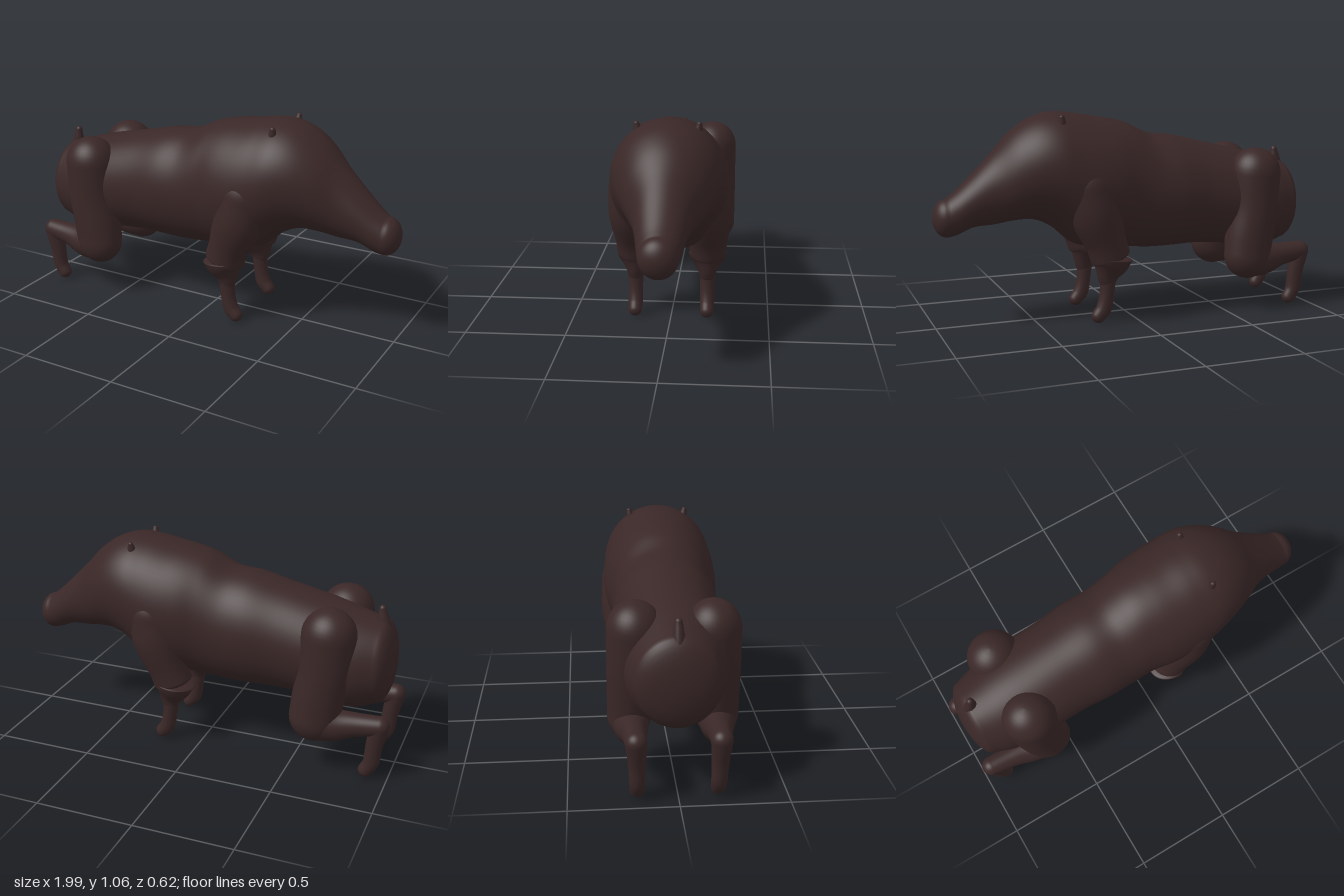
import * as THREE from 'three';

const X_AXIS = new THREE.Vector3(1, 0, 0);

// Smooth closed skin through sections [x, y, z, side radius, in-plane radius], with rounded ends.
function loft(sections, { startCap, endCap, axis = null, steps = 40, sides = 40 }) {
  const path = new THREE.CatmullRomCurve3(sections.map(s => new THREE.Vector3(s[0], s[1], s[2])), false, 'catmullrom', 0.5);
  const radii = new THREE.CatmullRomCurve3(sections.map(s => new THREE.Vector3(s[3], s[4], 0)), false, 'catmullrom', 0.5);
  const rings = [];
  const addRing = (t, shift, scale) => {
    const dir = axis ? axis.clone() : path.getTangent(t);
    const center = path.getPoint(t).addScaledVector(dir, shift);
    const r = radii.getPoint(t);
    const u = new THREE.Vector3(0, 0, 1);
    u.addScaledVector(dir, -u.dot(dir)).normalize();
    rings.push({ center, u, v: dir.clone().cross(u), a: r.x * scale, b: r.y * scale });
  };
  const CAP = 10;
  for (let i = 0; i < CAP; i++) {
    const q = (i / CAP) * Math.PI / 2;
    addRing(0, -startCap * Math.cos(q), Math.sin(q));
  }
  for (let i = 0; i <= steps; i++) addRing(i / steps, 0, 1);
  for (let i = 1; i <= CAP; i++) {
    const q = (i / CAP) * Math.PI / 2;
    addRing(1, endCap * Math.sin(q), Math.cos(q));
  }

  const pos = [], index = [];
  rings.forEach((ring, i) => {
    for (let j = 0; j < sides; j++) {
      const th = (j / sides) * Math.PI * 2;
      const p = ring.center.clone()
        .addScaledVector(ring.u, ring.a * Math.cos(th))
        .addScaledVector(ring.v, ring.b * Math.sin(th));
      pos.push(p.x, p.y, p.z);
      if (i === rings.length - 1) continue;
      const k = (j + 1) % sides, a = i * sides + j, b = i * sides + k;
      index.push(a, b, a + sides, b, b + sides, a + sides);
    }
  });
  const geo = new THREE.BufferGeometry();
  geo.setAttribute('position', new THREE.Float32BufferAttribute(pos, 3));
  geo.setIndex(index);
  geo.computeVertexNormals();
  return geo;
}

export function createModel() {
  const model = new THREE.Group();
  model.name = 'animal';
  const hide = new THREE.MeshStandardMaterial({ color: 0x3a2727 });
  hide.name = 'dark brown hide';

  const add = (parent, name, sections, options) => {
    const mesh = new THREE.Mesh(loft(sections, options), hide);
    mesh.name = name;
    parent.add(mesh);
  };

  // Body, neck and head in one skin: [x, top, bottom, half width]
  const outline = [
    [-0.89, 0.775, 0.34, 0.20], [-0.8, 0.80, 0.31, 0.23], [-0.7, 0.83, 0.31, 0.245],
    [-0.6, 0.855, 0.33, 0.25], [-0.4, 0.90, 0.348, 0.25], [-0.25, 0.935, 0.345, 0.262],
    [-0.12, 0.95, 0.345, 0.26], [0, 1.005, 0.355, 0.265], [0.1, 1.03, 0.36, 0.285],
    [0.2, 1.045, 0.37, 0.295], [0.3, 1.062, 0.40, 0.292], [0.4, 1.067, 0.485, 0.28],
    [0.5, 1.04, 0.53, 0.25], [0.6, 0.975, 0.53, 0.205], [0.7, 0.87, 0.515, 0.15],
    [0.8, 0.77, 0.507, 0.12], [0.88, 0.695, 0.475, 0.103], [0.93, 0.655, 0.463, 0.092],
  ];
  add(model, 'body',
    outline.map(([x, top, bottom, w]) => [x, (top + bottom) / 2, 0, w, (top - bottom) / 2]),
    { startCap: 0.08, endCap: 0.07, axis: X_AXIS, steps: 100, sides: 64 });

  // Tail stub
  add(model, 'tail', [[-0.9, 0.68, 0, 0.035, 0.05], [-0.89, 0.76, 0, 0.028, 0.035], [-0.882, 0.83, 0, 0.018, 0.018]],
    { startCap: 0.02, endCap: 0.02, steps: 12, sides: 20 });

  for (const side of [1, -1]) {
    const word = side > 0 ? 'left' : 'right';
    const flip = list => list.map(([x, y, z, a, b]) => [x, y, z * side, a, b]);

    // Ear nub
    add(model, word + 'Ear', flip([[0.38, 0.98, 0.14, 0.025, 0.025], [0.38, 1.02, 0.145, 0.02, 0.02], [0.382, 1.047, 0.15, 0.013, 0.014]]),
      { startCap: 0.01, endCap: 0.012, steps: 10, sides: 16 });

    // Front leg: shoulder, flared cuff and thin foot
    const front = new THREE.Group();
    front.name = word + 'FrontLeg';
    add(front, 'shoulder', flip([
      [0.25, 0.70, 0.19, 0.115, 0.13], [0.22, 0.56, 0.19, 0.12, 0.13],
      [0.17, 0.42, 0.187, 0.10, 0.105], [0.145, 0.345, 0.185, 0.094, 0.103],
    ]), { startCap: 0.13, endCap: 0.03 });
    add(front, 'cuff', flip([
      [0.14, 0.335, 0.185, 0.098, 0.11], [0.145, 0.30, 0.185, 0.085, 0.092],
      [0.158, 0.25, 0.185, 0.052, 0.06], [0.162, 0.21, 0.185, 0.038, 0.042],
    ]), { startCap: 0.015, endCap: 0.02, steps: 20 });
    add(front, 'foot', flip([
      [0.155, 0.26, 0.185, 0.042, 0.042], [0.165, 0.15, 0.185, 0.037, 0.037],
      [0.18, 0.08, 0.185, 0.037, 0.04], [0.21, 0.04, 0.185, 0.035, 0.036],
    ]), { startCap: 0.02, endCap: 0.034, steps: 24, sides: 28 });
    model.add(front);

    // Hind leg: thigh, shank running back to the hock, and foot
    const hind = new THREE.Group();
    hind.name = word + 'HindLeg';
    add(hind, 'thigh', flip([
      [-0.67, 0.73, 0.18, 0.13, 0.135], [-0.66, 0.55, 0.187, 0.123, 0.13],
      [-0.635, 0.40, 0.195, 0.115, 0.13], [-0.62, 0.30, 0.205, 0.105, 0.125],
    ]), { startCap: 0.135, endCap: 0.125 });
    add(hind, 'shank', flip([
      [-0.62, 0.28, 0.205, 0.095, 0.105], [-0.72, 0.27, 0.20, 0.08, 0.085],
      [-0.82, 0.285, 0.195, 0.06, 0.062], [-0.945, 0.298, 0.19, 0.05, 0.05],
    ]), { startCap: 0.08, endCap: 0.05 });
    add(hind, 'foot', flip([
      [-0.945, 0.298, 0.19, 0.05, 0.05], [-0.925, 0.18, 0.187, 0.04, 0.042],
      [-0.915, 0.09, 0.185, 0.037, 0.04], [-0.888, 0.04, 0.185, 0.035, 0.036],
    ]), { startCap: 0.05, endCap: 0.034, steps: 24, sides: 28 });
    model.add(hind);
  }
  return model;
}
